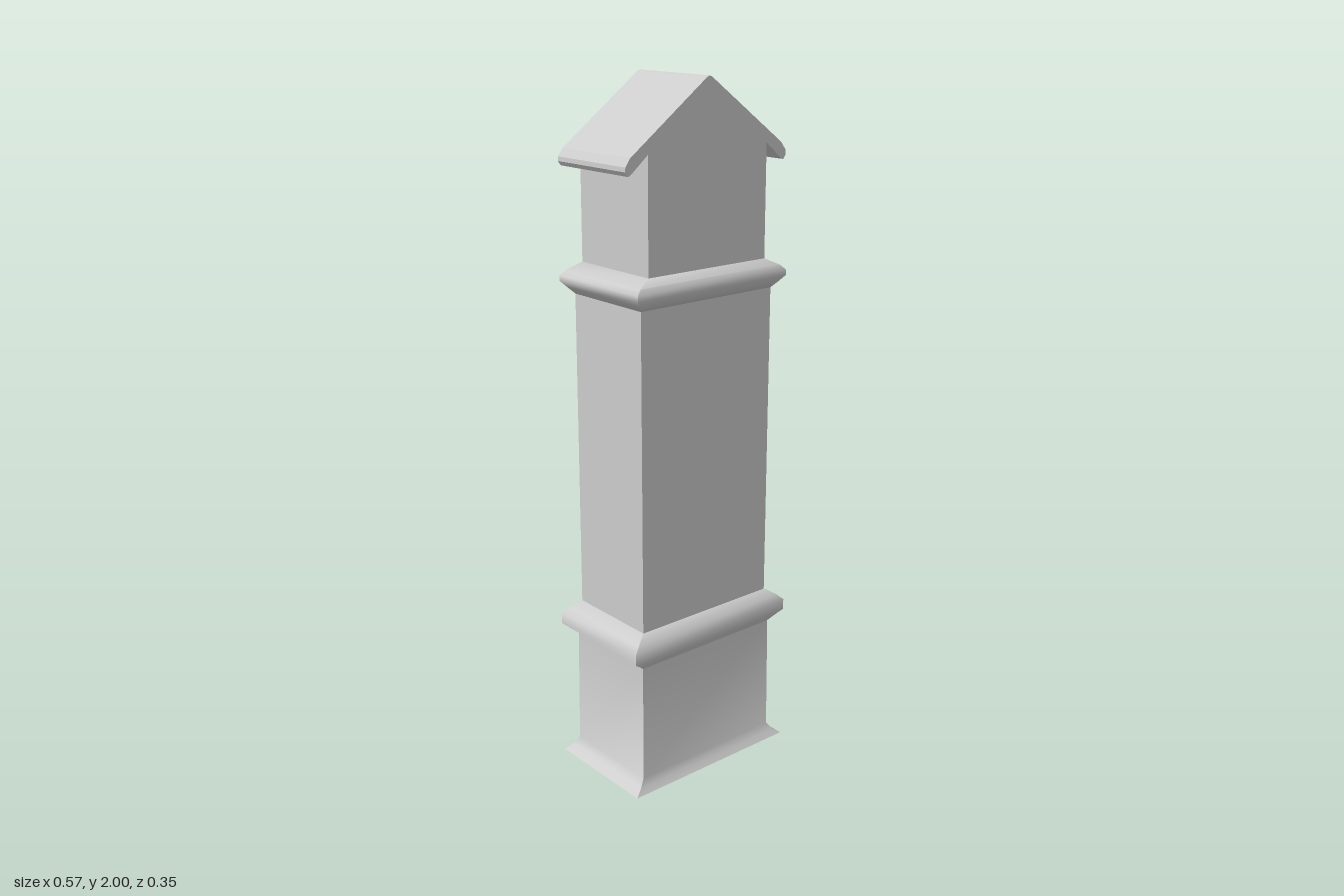
import * as THREE from 'three';
import { toCreasedNormals } from 'three/addons/utils/BufferGeometryUtils.js';

const grey = new THREE.MeshStandardMaterial({ color: 0xcccccc, side: THREE.DoubleSide });

function add(parent, name, geometry) {
  const mesh = new THREE.Mesh(geometry, grey);
  mesh.name = name;
  parent.add(mesh);
  return mesh;
}

// Skin over stacked rectangles, each given as [half width, half depth, height]
function loft(rings, capped = true) {
  const pos = [], idx = [];
  for (const [w, d, y] of rings) pos.push(-w, y, d, w, y, d, w, y, -d, -w, y, -d);
  for (let r = 0; r < rings.length - 1; r++) {
    for (let i = 0; i < 4; i++) {
      const a = r * 4 + i, b = r * 4 + (i + 1) % 4;
      idx.push(a, b, b + 4, a, b + 4, a + 4);
    }
  }
  if (capped) {
    const t = (rings.length - 1) * 4;
    idx.push(0, 2, 1, 0, 3, 2, t, t + 1, t + 2, t, t + 2, t + 3);
  }
  const g = new THREE.BufferGeometry();
  g.setAttribute('position', new THREE.Float32BufferAttribute(pos, 3));
  g.setIndex(idx);
  return toCreasedNormals(g, 0.9);
}

const outline = (points) => points.map(([x, y]) => new THREE.Vector2(x, y));
const rect = (w, y0, y1) => outline([[-w, y0], [w, y0], [w, y1], [-w, y1]]);

// Solid of a given outline from z0 to z1, with an optional window
function slab(points, z0, z1, hole) {
  const shape = new THREE.Shape(points);
  if (hole) shape.holes.push(new THREE.Path(hole));
  return new THREE.ExtrudeGeometry(shape, { depth: z1 - z0, bevelEnabled: false }).translate(0, 0, z0);
}

export function createModel() {
  const clock = new THREE.Group();
  clock.name = 'longcaseClock';
  const Z = 0.143;

  // Plinth with flared foot and the waist moulding above it
  add(clock, 'plinth', loft([
    [0.285, 0.176, 0], [0.262, 0.164, 0.017], [0.244, 0.154, 0.04], [0.241, 0.152, 0.39],
  ]));
  add(clock, 'waistMoulding', loft([
    [0.241, 0.152, 0.39], [0.258, 0.162, 0.405], [0.284, 0.175, 0.423], [0.284, 0.175, 0.455],
    [0.265, 0.164, 0.473], [0.232, Z, 0.494],
  ]));

  // Trunk, open at the back, with a bevelled trim around its inner panel
  const trunk = new THREE.Group();
  trunk.name = 'trunk';
  clock.add(trunk);
  const trunkOutline = rect(0.232, 0.49, 1.42), mid = 0.017;
  add(trunk, 'trunkFrame', slab(trunkOutline, -Z, mid, rect(0.186, 0.615, 1.305)));
  add(trunk, 'trunkPanel', slab(trunkOutline, mid, Z));
  const trim = add(trunk, 'panelTrim', loft([[0.186, 0.345, 0], [0.166, 0.325, 0.02]], false));
  trim.rotation.x = Math.PI / 2;
  trim.position.set(0, 0.96, mid - 0.02);

  // Moulding under the hood
  add(clock, 'hoodMoulding', loft([
    [0.232, Z, 1.415], [0.248, 0.159, 1.433], [0.264, 0.171, 1.45], [0.264, 0.171, 1.465],
    [0.248, 0.162, 1.48], [0.206, Z, 1.5],
  ]));

  // Gabled hood with a shallow dial recess at the back
  const hood = new THREE.Group();
  hood.name = 'hood';
  clock.add(hood);
  const gable = outline([[-0.206, 1.495], [0.206, 1.495], [0.206, 1.82], [0, 1.965], [-0.206, 1.82]]);
  const recess = -Z + 0.045;
  add(hood, 'hoodFrame', slab(gable, -Z, recess, rect(0.152, 1.51, 1.795)));
  add(hood, 'hoodBody', slab(gable, recess, Z));

  // Pitched roof with rounded eaves
  const half = [[0.206, 1.815], [0.262, 1.769], [0.27, 1.766], [0.279, 1.778], [0.278, 1.79], [0.262, 1.812], [0.008, 1.997]];
  const left = half.map(([x, y]) => [-x, y]).reverse();
  const roof = outline([[0, 1.96], ...half, [0, 2], ...left]);
  add(hood, 'roof', slab(roof, -Z, Z));

  // Dial and centre pin
  for (const [name, radius, depth, sides] of [['dial', 0.135, 0.016, 48], ['dialPin', 0.007, 0.026, 12]]) {
    const disc = add(hood, name, new THREE.CylinderGeometry(radius, radius, depth, sides));
    disc.rotation.x = Math.PI / 2;
    disc.position.set(0, 1.653, recess - depth / 2);
  }
  return clock;
}
